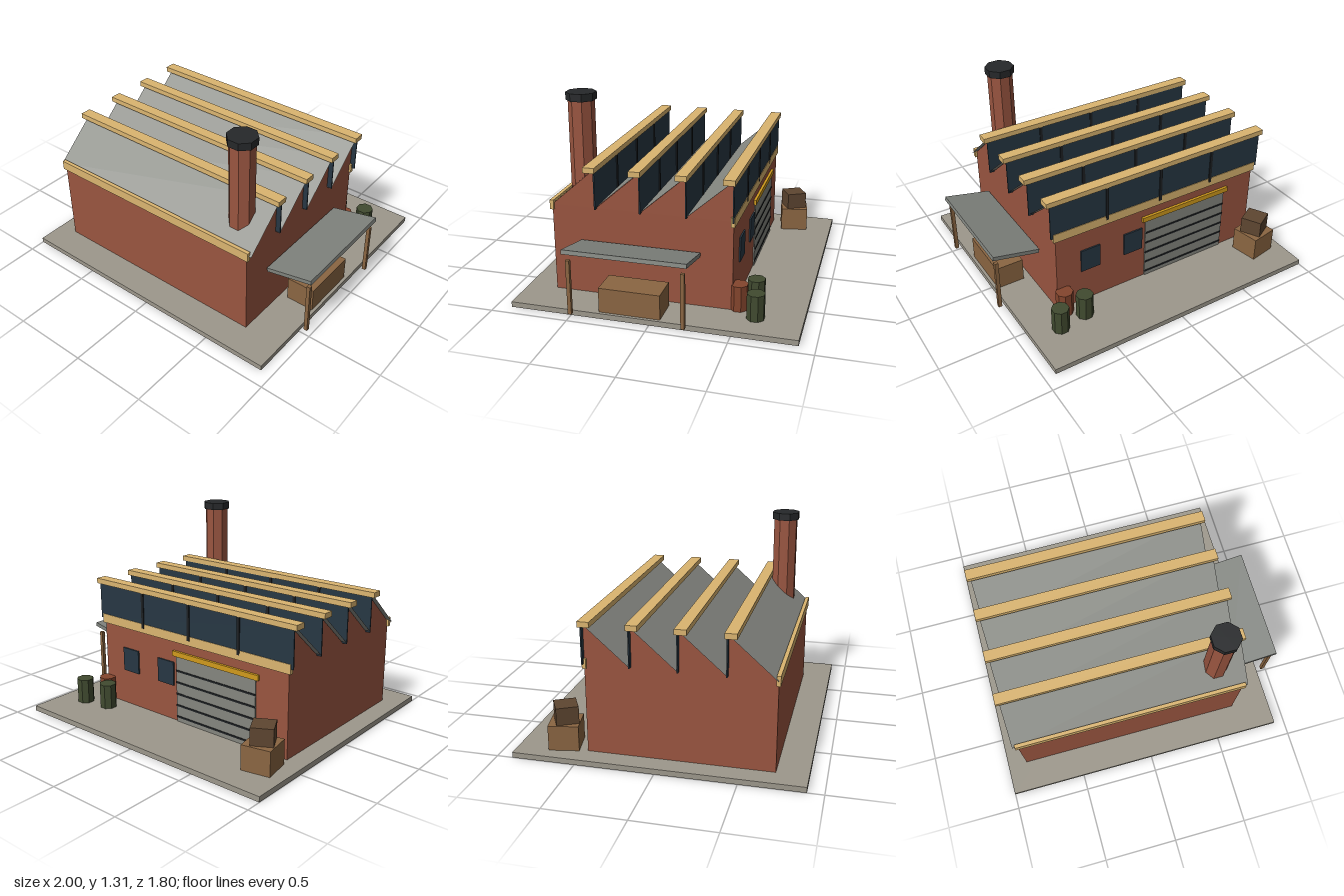
import * as THREE from 'three';

const mat = (color, side = THREE.FrontSide) =>
  new THREE.MeshStandardMaterial({ color, side, flatShading: true });

const M = {
  slab: mat(0x9d988c), brick: mat(0x9a5540), roof: mat(0x8a8c86, THREE.DoubleSide),
  trim: mat(0xdbb570), glass: mat(0x273743), frame: mat(0x1e2124), soot: mat(0x26282a),
  metal: mat(0x80837e), shutter: mat(0x85867f), yellow: mat(0xd09a1c), wood: mat(0x8b6642),
  darkWood: mat(0x5e4631), green: mat(0x414b30), rust: mat(0x84452d),
};

export function createModel() {
  const model = new THREE.Group();
  model.name = 'factory';

  const add = (name, geometry, material, x, y, z, ry = 0) => {
    const mesh = new THREE.Mesh(geometry, material);
    mesh.name = name;
    mesh.position.set(x, y, z);
    mesh.rotation.y = ry;
    model.add(mesh);
    return mesh;
  };
  // Box centred on x and z, spanning y0 to y1
  const box = (name, material, w, y0, y1, d, x, z, ry = 0) =>
    add(name, new THREE.BoxGeometry(w, y1 - y0, d), material, x, (y0 + y1) / 2, z, ry);
  // Octagonal prism with flats facing the axes
  const octagon = (name, material, r, y0, y1, x, z) =>
    add(name, new THREE.CylinderGeometry(r, r, y1 - y0, 8), material, x, (y0 + y1) / 2, z, Math.PI / 8);

  const ground = 0.035, eaves = 0.615, ridge = 0.87;
  const cx = -0.103, width = 1.535, front = 0.705, back = -0.455;

  // Ground and main walls
  box('groundSlab', M.slab, 1.925, 0, ground, 1.8, -0.0375, 0);
  box('walls', M.brick, width, ground, eaves, front - back, cx, (front + back) / 2);
  for (const z of [front, back + 0.002]) box('eavesTrim', M.trim, 1.565, 0.583, 0.645, 0.025, cx, z);

  // Sawtooth roof bays
  const bays = 4, step = (front - back) / bays, rise = ridge - eaves;
  const slope = Math.atan2(rise, step);
  const gable = new THREE.Shape();
  gable.moveTo(0, 0);
  gable.lineTo(step, 0);
  gable.lineTo(step, rise);
  const toothGeo = new THREE.ExtrudeGeometry(gable, { depth: width, bevelEnabled: false });
  toothGeo.translate(0, 0, -width / 2).rotateY(Math.PI / 2);
  const roofGeo = new THREE.PlaneGeometry(1.6, Math.hypot(step, rise)).rotateX(slope - Math.PI / 2);

  for (let i = 0; i < bays; i++) {
    const z0 = front - i * step, z1 = z0 - step;
    add('roofBay', toothGeo, M.brick, cx, eaves, z0);
    add('roofSheet', roofGeo, M.roof, cx, eaves + rise / 2 + 0.003, (z0 + z1) / 2 + 0.002);
    box('skylightGlass', M.glass, 1.6, eaves, ridge - 0.005, 0.008, cx, z1 - 0.003);
    for (let k = -1; k <= 1; k++)
      box('skylightMullion', M.frame, 0.02, eaves, ridge - 0.01, 0.014, cx + k * 0.4, z1 - 0.006);
    box('ridgeCap', M.trim, 1.645, 0.855, 0.89, 0.073, cx, z1 + 0.021);
  }

  // Chimney
  octagon('chimney', M.brick, 0.083, eaves - 0.02, 1.27, 0.507, 0.548);
  octagon('chimneyCap', M.soot, 0.096, 1.26, 1.308, 0.507, 0.548);

  // Side canopy with posts and a long crate beneath
  const canopy = add('canopy', new THREE.BoxGeometry(0.322, 0.027, 0.77), M.metal, 0.838, 0.418, 0.13);
  canopy.rotation.z = 0.205;
  for (const z of [0.485, -0.225]) box('canopyPost', M.wood, 0.024, ground, 0.39, 0.024, 0.968, z);
  box('longCrate', M.wood, 0.19, ground, 0.195, 0.39, 0.81, 0.13);

  // Back wall: windows and roller door
  for (const x of [0.42, 0.1]) box('window', M.glass, 0.14, 0.278, 0.44, 0.014, x, back - 0.003);
  box('rollerDoor', M.shutter, 0.64, ground, 0.49, 0.012, -0.315, back - 0.002);
  for (let i = 0; i < 5; i++) {
    const y = 0.07 + i * 0.08;
    box('doorSlat', M.frame, 0.64, y - 0.006, y + 0.006, 0.012, -0.315, back - 0.006);
  }
  box('doorLintel', M.yellow, 0.69, 0.488, 0.523, 0.025, -0.315, back - 0.005);

  // Barrels and stacked crates in the back yard
  octagon('barrel', M.green, 0.057, ground, 0.202, 0.538, -0.58);
  octagon('barrel', M.green, 0.057, ground, 0.202, 0.73, -0.612);
  octagon('barrel', M.rust, 0.057, ground, 0.202, 0.633, -0.49);
  box('largeCrate', M.wood, 0.19, ground, 0.197, 0.19, -0.81, -0.617, 0.18);
  box('smallCrate', M.darkWood, 0.14, 0.197, 0.31, 0.14, -0.81, -0.612, 0.5);

  return model;
}
